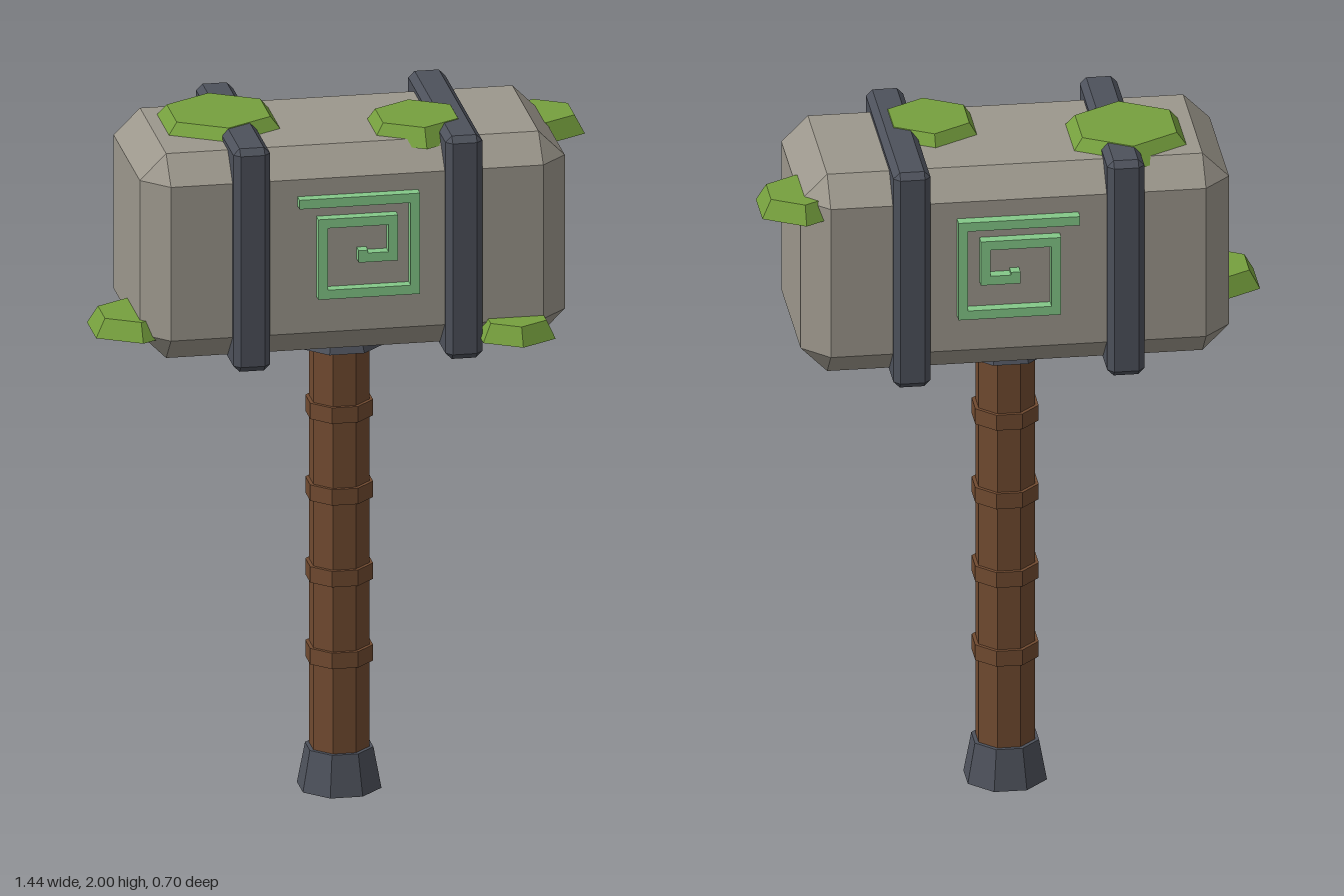
import * as THREE from 'three';
import { ConvexGeometry } from 'three/addons/geometries/ConvexGeometry.js';

const ZC = -0.045; // hammer axis in depth
const mat = (name, color) => {
  const m = new THREE.MeshStandardMaterial({ color, flatShading: true });
  m.name = name;
  return m;
};

// Box with every edge and corner cut off by c
function chamferBox(w, h, d, c) {
  const pts = [];
  for (const sx of [-1, 1]) for (const sy of [-1, 1]) for (const sz of [-1, 1])
    for (let axis = 0; axis < 3; axis++) {
      const half = [w / 2 - c, h / 2 - c, d / 2 - c];
      half[axis] += c;
      pts.push(new THREE.Vector3(sx * half[0], sy * half[1], sz * half[2]));
    }
  return new ConvexGeometry(pts);
}

// Eight-sided upright drum with a flat side facing front
function drum(y0, y1, rBottom, rTop) {
  const g = new THREE.CylinderGeometry(rTop, rBottom, y1 - y0, 8);
  g.rotateY(Math.PI / 8);
  g.translate(0, (y0 + y1) / 2, ZC);
  return g;
}

// Outline of an axis-aligned polyline with mitred corners
function strokeShape(path, width) {
  const normals = path.slice(1).map(([x, y], i) => {
    const dx = x - path[i][0], dy = y - path[i][1], l = Math.hypot(dx, dy);
    return [-dy / l, dx / l];
  });
  const left = [], right = [];
  path.forEach(([x, y], i) => {
    const a = normals[i - 1] || [0, 0], b = normals[i] || [0, 0];
    const nx = (a[0] + b[0]) * width / 2, ny = (a[1] + b[1]) * width / 2;
    left.push(new THREE.Vector2(x + nx, y + ny));
    right.unshift(new THREE.Vector2(x - nx, y - ny));
  });
  return new THREE.Shape([...left, ...right]);
}

export function createModel() {
  const group = new THREE.Group();
  const stone = mat('stone', 0x9c978c);
  const iron = mat('iron', 0x4d515b);
  const wood = mat('wood', 0x704a30);
  const moss = mat('moss', 0x76a03e);
  const rune = mat('rune', 0x84c888);
  const add = (name, geometry, material) => {
    const m = new THREE.Mesh(geometry, material);
    m.name = name;
    group.add(m);
    return m;
  };

  // Head and the two bands around it
  add('head', chamferBox(1.21, 0.605, 0.55, 0.075), stone).position.set(0, 1.667, ZC);
  for (const s of [-1, 1])
    add(s > 0 ? 'leftBand' : 'rightBand', chamferBox(0.105, 0.66, 0.605, 0.018), iron)
      .position.set(s * 0.302, 1.67, ZC);

  // Handle with grip rings, pommel and collar
  add('handle', drum(0.06, 1.38, 0.086, 0.086), wood);
  for (let i = 0; i < 4; i++) {
    const y = 0.375 + i * 0.242;
    add('gripRing' + (i + 1), drum(y, y + 0.047, 0.097, 0.097), wood);
  }
  add('pommel', drum(0, 0.12, 0.121, 0.098), iron);
  add('collar', drum(1.315, 1.39, 0.13, 0.096), iron);

  // Square spiral running through the head, raised on front and back
  const spiral = strokeShape([
    [-0.17, 1.831], [0.16, 1.831], [0.16, 1.56], [-0.103, 1.56], [-0.103, 1.77],
    [0.097, 1.77], [0.097, 1.663], [0.012, 1.663], [0.012, 1.685],
  ], 0.027);
  const spiralGeo = new THREE.ExtrudeGeometry(spiral, { depth: 0.614, bevelEnabled: false });
  spiralGeo.translate(0, 0, -0.352);
  add('spiralRune', spiralGeo, rune);

  // Moss clumps: x, base y, z, base radius
  [
    [-0.335, 1.95, -0.09, 0.2],
    [0.205, 1.95, 0.037, 0.16],
    [0.6, 1.853, -0.2, 0.134],
    [-0.605, 1.43, 0.07, 0.14],
    [0.452, 1.397, 0.225, 0.119],
  ].forEach(([x, y, z, r], i) => {
    const g = new THREE.CylinderGeometry(r * 0.77, r, 0.052, 6);
    add('mossClump' + (i + 1), g, moss).position.set(x, y + 0.026, z);
  });

  return group;
}
